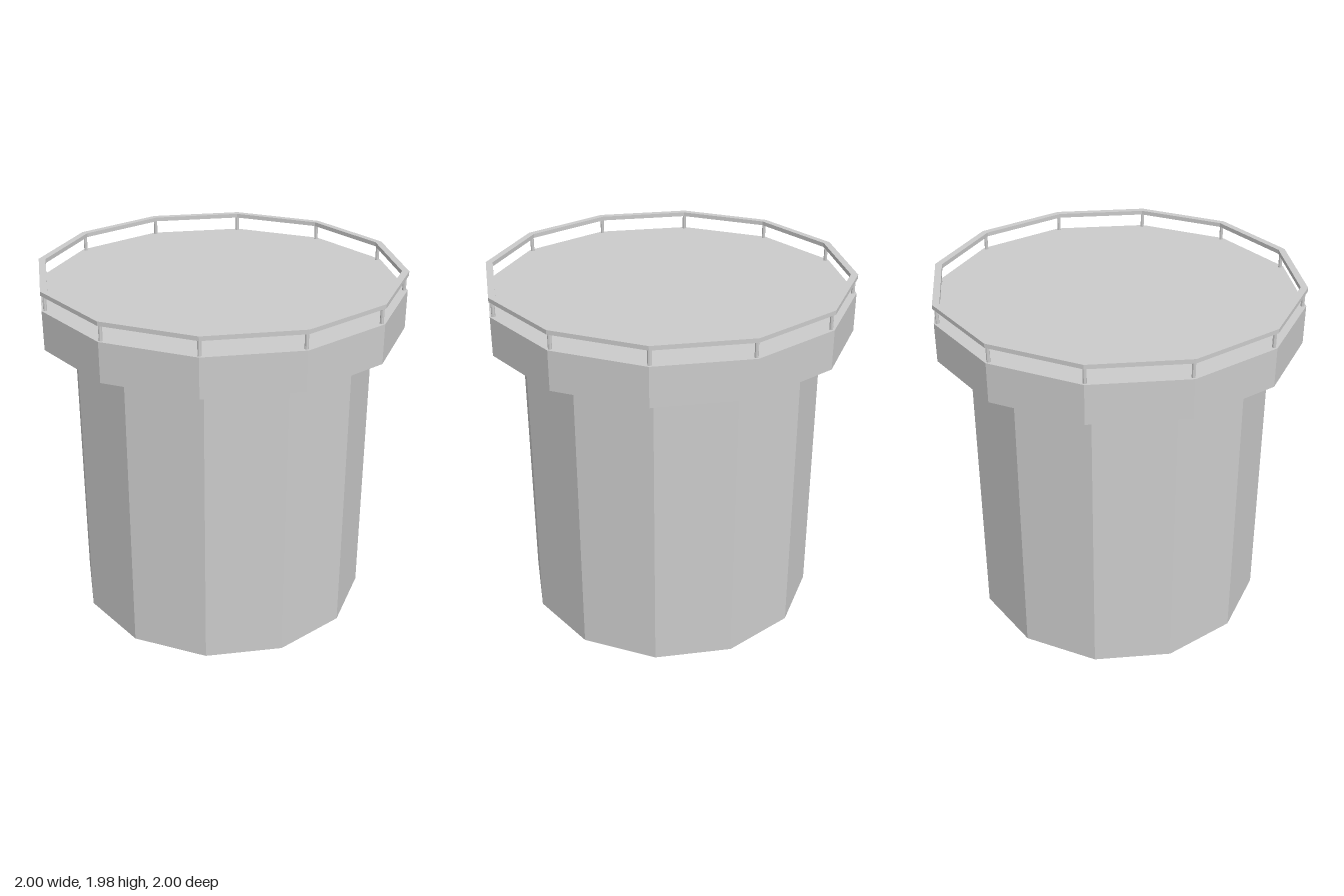
import * as THREE from 'three';

const SIDES = 12;
const BODY_TOP = 1.66, DECK_TOP = 1.875, RAIL_BOTTOM = 1.957, RAIL_TOP = 1.98;

export function createModel() {
  const model = new THREE.Group();
  const material = new THREE.MeshStandardMaterial({ color: 0xcccccc, flatShading: true });

  // Upright prism between two heights
  const prism = (name, radius, y0, y1, sides, x = 0, z = 0, parent = model) => {
    const mesh = new THREE.Mesh(new THREE.CylinderGeometry(radius, radius, y1 - y0, sides), material);
    mesh.name = name;
    mesh.position.set(x, (y0 + y1) / 2, z);
    parent.add(mesh);
    return mesh;
  };

  // Twelve-sided tower and its overhanging platform
  prism('towerBody', 0.828, 0, BODY_TOP, SIDES);
  prism('platform', 1, BODY_TOP, DECK_TOP, SIDES);

  // Railing: a post at each corner
  const railing = new THREE.Group();
  railing.name = 'railing';
  model.add(railing);
  for (let i = 0; i < SIDES; i++) {
    const a = (i / SIDES) * Math.PI * 2;
    prism('railPost', 0.01, DECK_TOP, RAIL_BOTTOM, 8, Math.sin(a) * 0.98, Math.cos(a) * 0.98, railing);
  }

  // Handrail: rectangular section swept round the corners
  const section = [
    [1, RAIL_BOTTOM], [1, RAIL_TOP], [0.962, RAIL_TOP], [0.962, RAIL_BOTTOM], [1, RAIL_BOTTOM],
  ].map(([r, y]) => new THREE.Vector2(r, y));
  const handrail = new THREE.Mesh(new THREE.LatheGeometry(section, SIDES), material);
  handrail.name = 'handrail';
  railing.add(handrail);

  return model;
}
